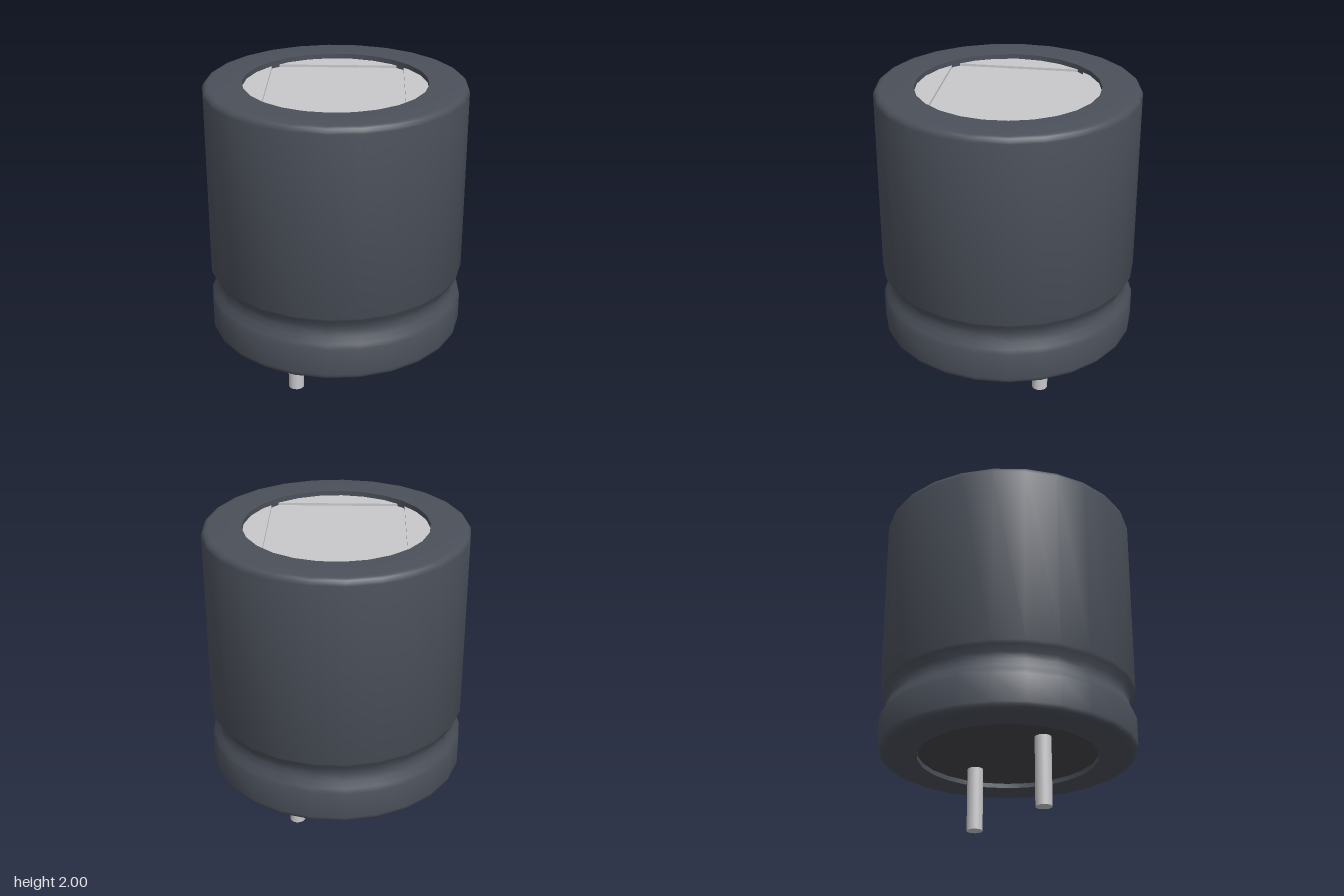
import * as THREE from 'three';
import { toCreasedNormals } from 'three/addons/utils/BufferGeometryUtils.js';

const SIDES = 25;
const R = 0.8, INNER = 0.56, BOTTOM = 0.4, TOP = 2, RECESS = 0.03, BEVEL = 0.04;

export function createModel() {
  const group = new THREE.Group();
  const sleeveMat = new THREE.MeshStandardMaterial({ name: 'sleeve charcoal', color: 0x4b505a });
  const metalMat = new THREE.MeshStandardMaterial({ name: 'bare metal', color: 0xc8c8cc });
  const sealMat = new THREE.MeshStandardMaterial({ name: 'rubber seal', color: 0x46464a });

  const add = (name, geometry, material, x = 0, y = 0, z = 0) => {
    const mesh = new THREE.Mesh(geometry, material);
    mesh.name = name;
    mesh.position.set(x, y, z);
    group.add(mesh);
    return mesh;
  };

  // Sleeve: lathed can with rounded rims, a crimp groove and open recesses at both ends
  const profile = [[INNER, BOTTOM + 0.05], [INNER, BOTTOM]];
  const corner = (cy, start) => {
    for (let i = 0; i <= 4; i++) {
      const a = start + (i / 4) * Math.PI / 2;
      profile.push([R - BEVEL + BEVEL * Math.cos(a), cy + BEVEL * Math.sin(a)]);
    }
  };
  corner(BOTTOM + BEVEL, -Math.PI / 2);
  profile.push([R, 0.61], [0.788, 0.64], [0.768, 0.68], [0.757, 0.72], [0.765, 0.76], [0.79, 0.80], [R, 0.82]);
  corner(TOP - BEVEL, 0);
  profile.push([INNER, TOP], [INNER, TOP - 0.07]);
  const sleeve = new THREE.LatheGeometry(
    profile.map(([r, y]) => new THREE.Vector2(r, y)), SIDES, -Math.PI / 2);
  add('sleeve', toCreasedNormals(sleeve, 0.9), sleeveMat);

  // Lid: floor disc plus four raised quadrants that leave a cross-shaped vent groove
  const disc = new THREE.CylinderGeometry(INNER + 0.015, INNER + 0.015, 0.02, SIDES, 1, false, -Math.PI / 2);
  add('lidFloor', disc, metalMat, 0, TOP - RECESS - 0.025, 0);
  const gap = 0.011, lidR = INNER + 0.015, edge = Math.asin(gap / lidR);
  const quadrant = new THREE.Shape();
  quadrant.moveTo(gap, gap);
  quadrant.absarc(0, 0, lidR, edge, Math.PI / 2 - edge, false);
  quadrant.closePath();
  const panel = new THREE.ExtrudeGeometry(quadrant, { depth: 0.02, bevelEnabled: false, curveSegments: 8 });
  panel.rotateX(-Math.PI / 2);
  for (let i = 0; i < 4; i++) {
    add('lidQuadrant' + (i + 1), panel, metalMat, 0, TOP - RECESS - 0.02, 0).rotation.y = i * Math.PI / 2;
  }

  // Seal set into the underside
  add('bottomSeal', disc, sealMat, 0, BOTTOM + RECESS + 0.01, 0);

  // Two leads, one slightly longer
  for (const [name, x, end] of [['rightLead', -0.35, 0], ['leftLead', 0.35, 0.025]]) {
    const length = BOTTOM + RECESS + 0.01 - end;
    add(name, new THREE.CylinderGeometry(0.05, 0.05, length, 20), metalMat, x, end + length / 2, 0);
  }
  return group;
}
